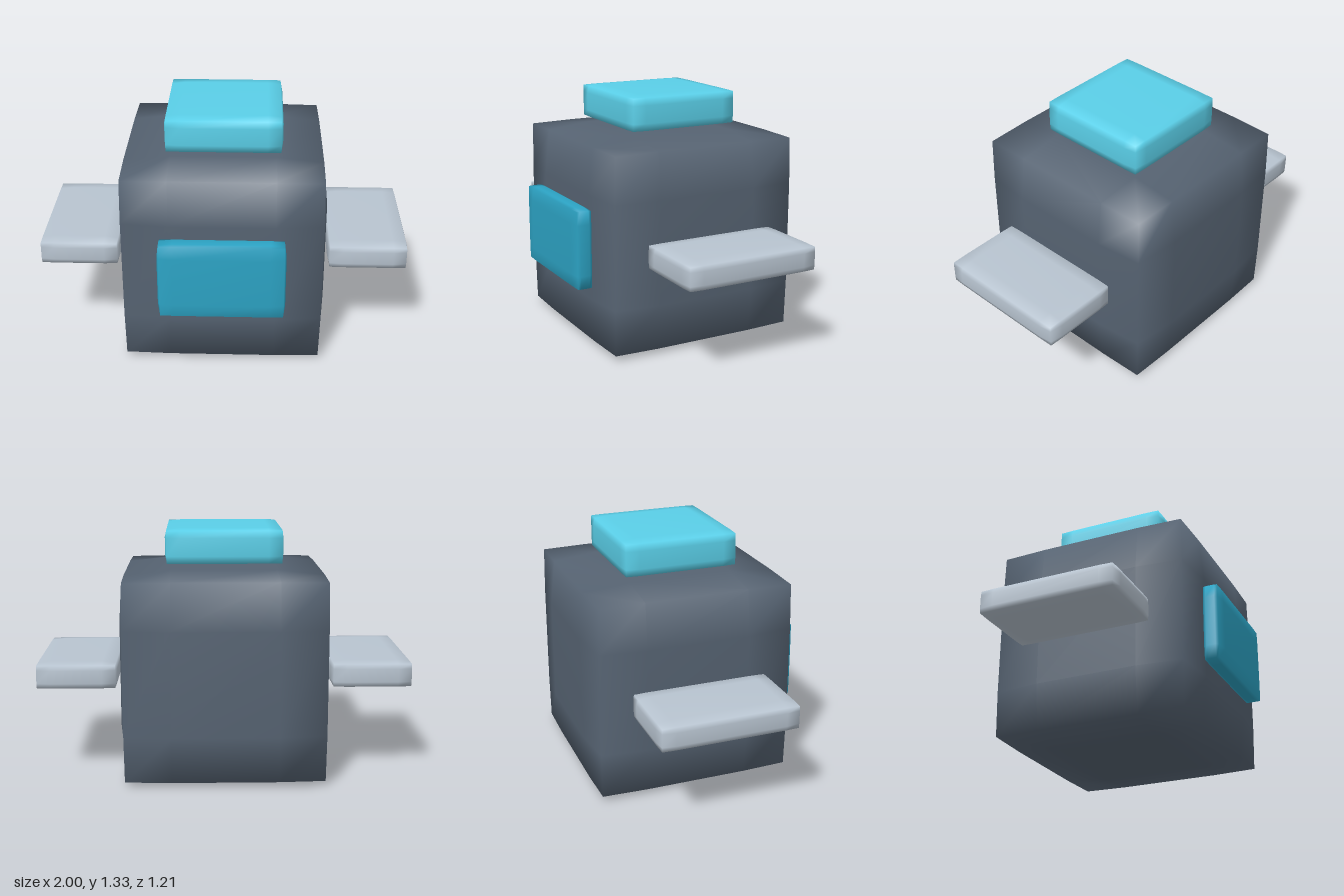
import * as THREE from 'three';
import { mergeVertices } from 'three/addons/utils/BufferGeometryUtils.js';

// Soft box: three segments per side, edges and corners drawn in, smooth normals.
// loop = distance of the support loops from the sides, inset = how far edges are drawn in
function softBox(size, loop, inset) {
  let geo = new THREE.BoxGeometry(2, 2, 2, 3, 3, 3);
  geo.deleteAttribute('uv');
  geo.deleteAttribute('normal');
  geo = mergeVertices(geo);
  const pos = geo.attributes.position;
  for (let i = 0; i < pos.count; i++) {
    const v = [pos.getX(i), pos.getY(i), pos.getZ(i)];
    const outer = v.map((c) => Math.abs(c) > 0.9);
    const count = outer.filter(Boolean).length;
    const pull = [0, 0, inset * 0.87, inset][count];
    const p = v.map((c, k) => {
      const half = size[k] / 2;
      const d = outer[k] ? half - pull : half - Math.min(loop, half / 2);
      return Math.sign(c) * d;
    });
    pos.setXYZ(i, ...p);
  }
  geo.computeVertexNormals();
  return geo;
}

function part(name, color, min, max, loop, inset) {
  const size = max.map((m, k) => m - min[k]);
  const mesh = new THREE.Mesh(
    softBox(size, loop, inset),
    new THREE.MeshStandardMaterial({ color })
  );
  mesh.position.set(...max.map((m, k) => (m + min[k]) / 2));
  mesh.name = name;
  return mesh;
}

export function createModel() {
  const group = new THREE.Group();
  group.name = 'floatingRobot';

  // Body
  group.add(part('body', 0x566372, [-0.555, 0, -0.603], [0.555, 1.11, 0.507], 0.275, 0.03));

  // Front screen and floating top block
  group.add(part('screen', 0x2ca3c4, [-0.335, 0.34, 0.505], [0.335, 0.775, 0.603], 0.08, 0.01));
  group.add(part('topBlock', 0x5acfe8, [-0.312, 1.138, -0.36], [0.312, 1.328, 0.265], 0.08, 0.01));

  // Side paddles
  for (const side of [-1, 1]) {
    const paddle = part(side > 0 ? 'leftPaddle' : 'rightPaddle', 0xb8c4d0,
      [0.568, 0.488, -0.422], [1, 0.628, 0.322], 0.08, 0.01);
    paddle.position.x *= side;
    group.add(paddle);
  }
  return group;
}
